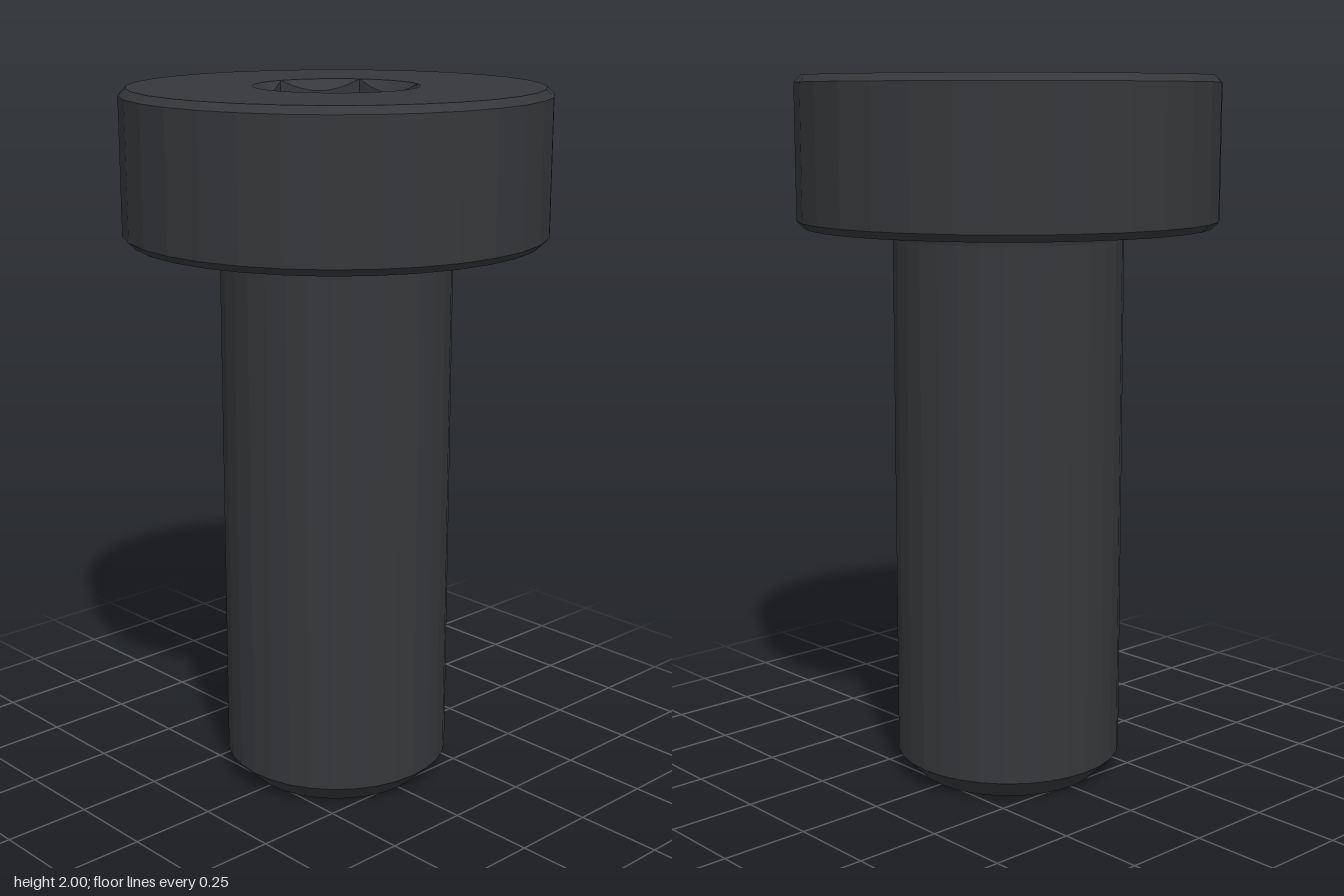
import * as THREE from 'three';

const SIDES = 32;
const HEAD_TOP = 2, HEAD_BASE = 1.585, HEAD_R = 0.59, BEVEL = 0.02;
const SHANK_R = 0.325, FILLET = 0.03, TIP = 0.06;
const SOCKET_R = 0.228, SOCKET_FLOOR = 1.75;

const material = new THREE.MeshStandardMaterial({ color: 0x35373a, flatShading: true });

const lathe = (pairs, sides) =>
  new THREE.LatheGeometry(pairs.map(([r, y]) => new THREE.Vector2(r, y)), sides);

const circle = (r, n) => Array.from({ length: n }, (_, i) => {
  const a = (i / n) * Math.PI * 2;
  return new THREE.Vector2(r * Math.cos(a), r * Math.sin(a));
});

// Hexagonal recess: a round funnel whose lower rings are pulled in to a hexagon
function socketGeometry() {
  const geo = lathe([
    [SOCKET_R, HEAD_TOP], [SOCKET_R, HEAD_TOP - 0.001], [SOCKET_R, SOCKET_FLOOR], [0, SOCKET_FLOOR],
  ], 48);
  const pos = geo.attributes.position;
  const step = Math.PI / 3, flat = SOCKET_R * Math.cos(step / 2);
  for (let i = 0; i < pos.count; i++) {
    const ring = i % 4;
    if (ring !== 1 && ring !== 2) continue;
    const a = Math.atan2(pos.getX(i), pos.getZ(i));
    const r = flat / Math.cos(a - Math.round(a / step) * step);
    // the 45 degree lead-in meets the flats in shallow scallops
    const y = ring === 1 ? HEAD_TOP - (SOCKET_R - r) : SOCKET_FLOOR;
    pos.setXYZ(i, r * Math.sin(a), y, r * Math.cos(a));
  }
  geo.computeVertexNormals();
  return geo;
}

export function createModel() {
  const group = new THREE.Group();
  const add = (name, geo) => {
    const mesh = new THREE.Mesh(geo, material);
    mesh.name = name;
    group.add(mesh);
    return mesh;
  };

  // Shank with a chamfered tip and a small fillet below the head
  const fillet = Array.from({ length: 5 }, (_, i) => {
    const a = (i / 4) * Math.PI / 2;
    return [SHANK_R + FILLET * (1 - Math.cos(a)), HEAD_BASE - FILLET * (1 - Math.sin(a))];
  });
  add('shank', lathe([[0, 0], [SHANK_R - TIP, 0], [SHANK_R, TIP], ...fillet], SIDES));

  // Head underside, bevels and rim
  add('head', lathe([
    [SHANK_R + FILLET, HEAD_BASE],
    [HEAD_R - BEVEL, HEAD_BASE],
    [HEAD_R, HEAD_BASE + BEVEL],
    [HEAD_R, HEAD_TOP - BEVEL],
    [HEAD_R - BEVEL, HEAD_TOP],
  ], SIDES));

  // Flat top with a round opening
  const top = new THREE.Shape(circle(HEAD_R - BEVEL, SIDES));
  top.holes.push(new THREE.Path(circle(SOCKET_R, 48)));
  const topGeo = new THREE.ShapeGeometry(top);
  topGeo.rotateX(-Math.PI / 2).translate(0, HEAD_TOP, 0);
  add('headTop', topGeo);

  add('hexSocket', socketGeometry());
  return group;
}
